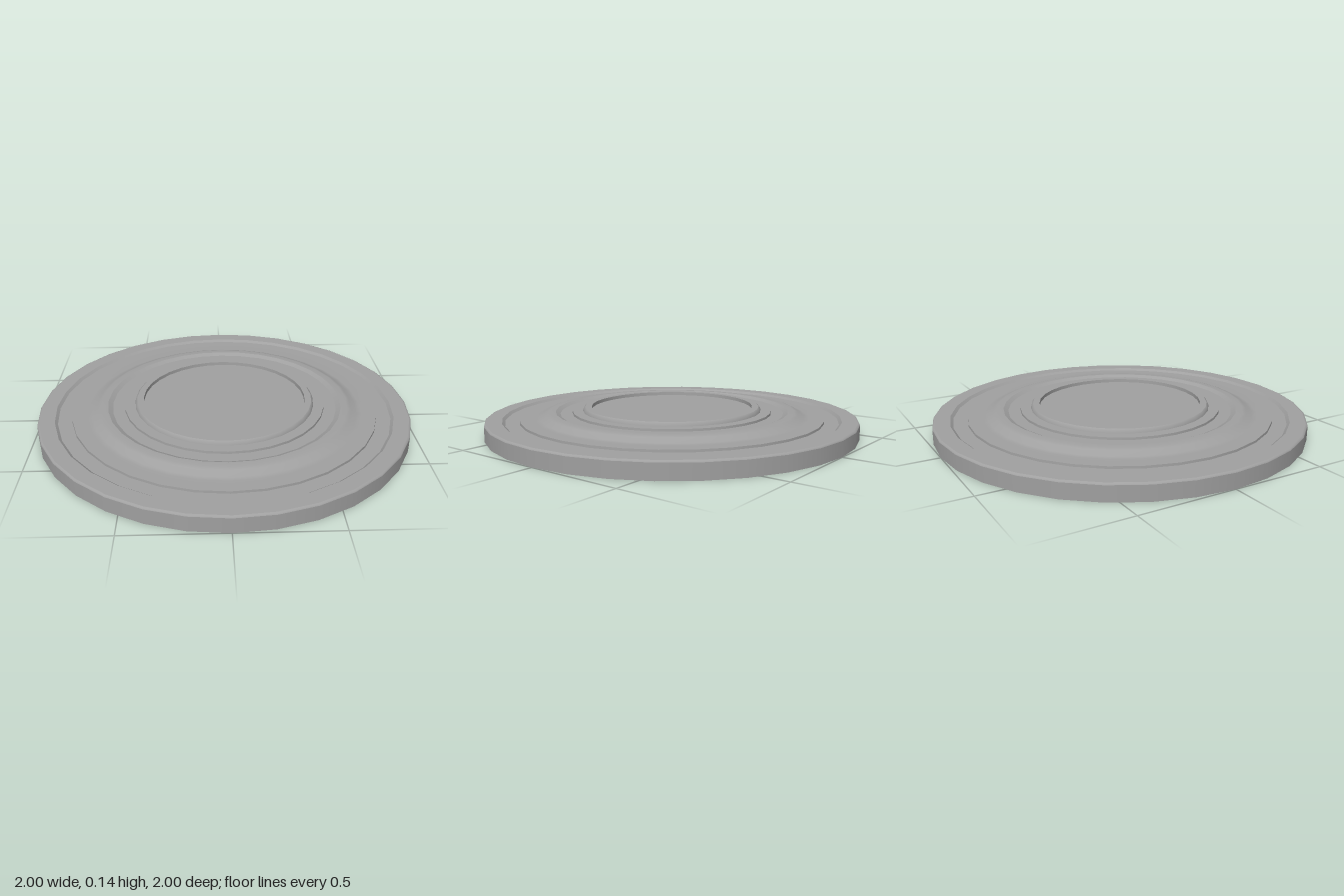
import * as THREE from 'three';

const SIDES = 32;

export function createModel() {
  const group = new THREE.Group();
  group.name = 'lid';
  const grey = new THREE.MeshStandardMaterial({ color: 0xa0a0a0, side: THREE.DoubleSide });
  grey.name = 'grey plastic';

  // One smooth ring of the shell; separate rings meet in sharp creases.
  // Profiles are [radius, height], running from the skirt towards the centre.
  function ring(name, profile) {
    const points = profile.map(([r, y]) => new THREE.Vector2(r, y));
    const mesh = new THREE.Mesh(new THREE.LatheGeometry(points, SIDES), grey);
    mesh.name = name;
    group.add(mesh);
  }

  // Outer skirt and rounded rim
  ring('skirt', [[1, 0], [1, 0.078]]);
  ring('rimBevel', [[1, 0.078], [0.997, 0.084], [0.99, 0.087]]);
  ring('rimTop', [[0.99, 0.087], [0.91, 0.087]]);

  // Shallow outer groove
  ring('outerGrooveSlope', [[0.91, 0.087], [0.895, 0.075]]);
  ring('outerGrooveFloor', [[0.895, 0.075], [0.82, 0.075]]);
  ring('outerGrooveWall', [[0.82, 0.075], [0.819, 0.087]]);

  // Soft shoulder rising to the middle plateau
  ring('shoulder', [
    [0.819, 0.087], [0.74, 0.087], [0.715, 0.09], [0.685, 0.11],
    [0.665, 0.116], [0.63, 0.117],
  ]);

  // Shallow inner groove
  ring('innerGrooveSlope', [[0.63, 0.117], [0.605, 0.105]]);
  ring('innerGrooveFloor', [[0.605, 0.105], [0.54, 0.105]]);
  ring('innerGrooveWall', [[0.54, 0.105], [0.539, 0.117]]);
  ring('innerPlateau', [[0.539, 0.117], [0.484, 0.117]]);

  // Raised lip around the recessed centre disc
  ring('lipWall', [[0.484, 0.117], [0.48, 0.131], [0.472, 0.138]]);
  ring('lipTop', [[0.472, 0.138], [0.437, 0.138]]);
  ring('discWall', [[0.437, 0.138], [0.436, 0.12]]);
  ring('centreDisc', [[0.436, 0.12], [0, 0.12]]);

  return group;
}
